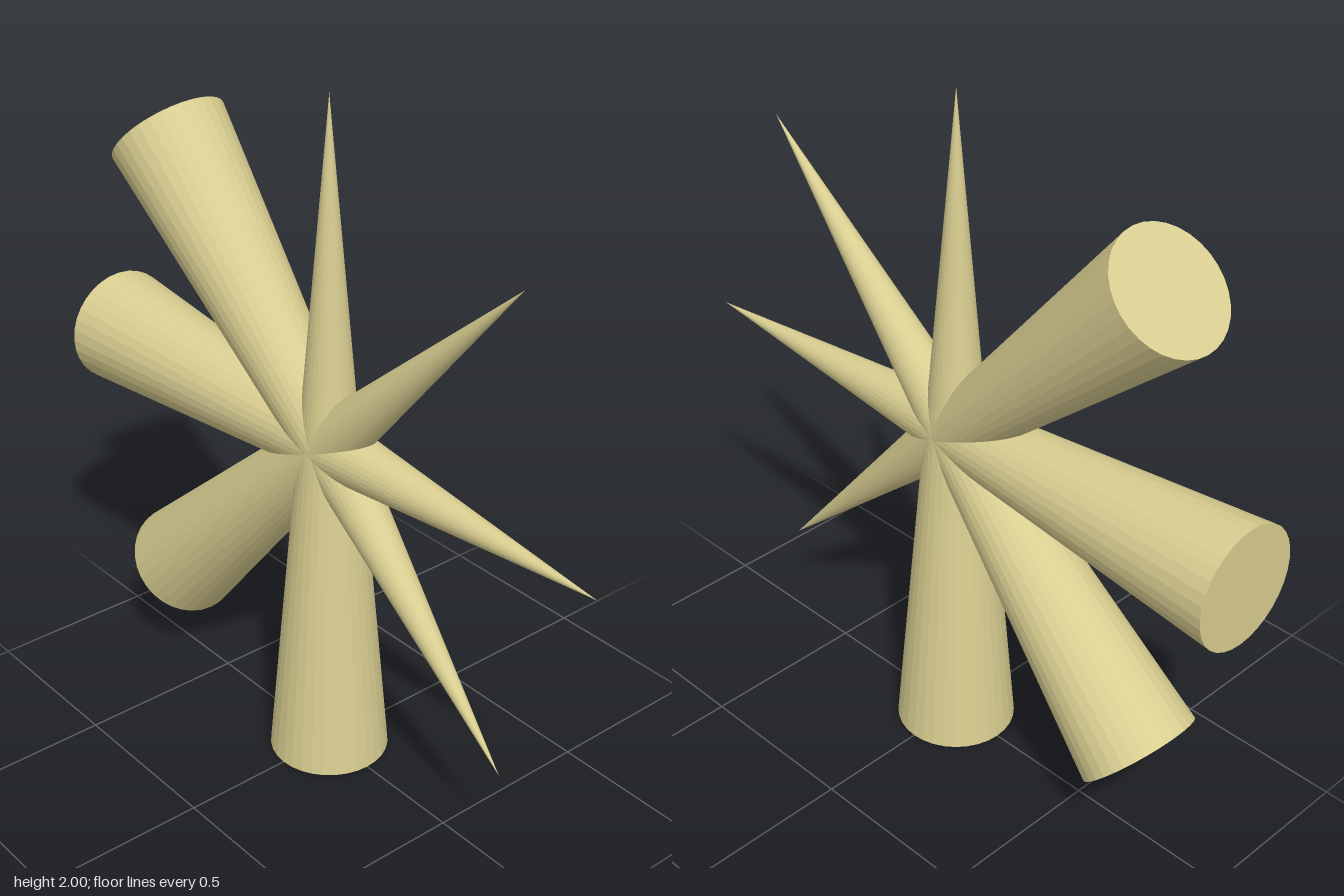
import * as THREE from 'three';

export function createModel() {
  const model = new THREE.Group();
  model.name = 'crossedCones';

  const sand = new THREE.MeshStandardMaterial({ color: 0xd9ce91, flatShading: true });
  sand.name = 'sand';

  // Four full-length cones crossing at their midpoints, fanned in 45 degree steps
  const cone = new THREE.ConeGeometry(0.174, 2, 32);
  const names = ['uprightCone', 'risingCone', 'levelCone', 'fallingCone'];
  names.forEach((name, i) => {
    const mesh = new THREE.Mesh(cone, sand);
    mesh.name = name;
    mesh.position.y = 1;
    mesh.rotation.z = -i * Math.PI / 4;
    model.add(mesh);
  });

  return model;
}
